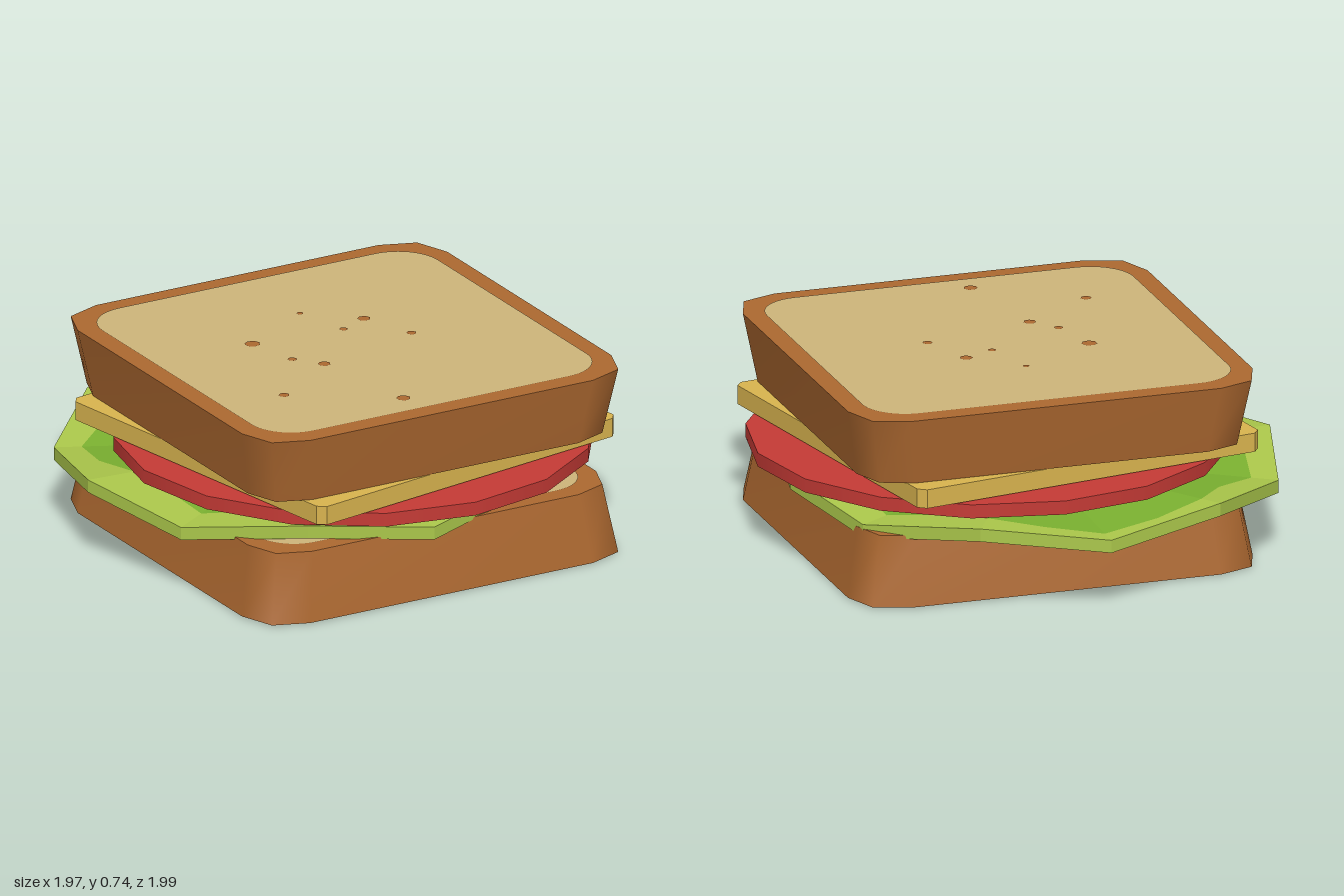
import * as THREE from 'three';

const mat = (name, color, side = THREE.FrontSide) => {
  const m = new THREE.MeshStandardMaterial({ color, side });
  m.name = name;
  return m;
};

// Square outline with cut corners: one corner's points, turned four times
function squareOutline(corner) {
  const pts = [];
  for (let q = 0; q < 4; q++) {
    const c = Math.round(Math.cos(q * Math.PI / 2)), s = Math.round(Math.sin(q * Math.PI / 2));
    for (const [x, z] of corner) pts.push([x * c - z * s, x * s + z * c]);
  }
  return pts;
}

// Tapered block on an outline, smooth around the wall with sharp flat caps
function taperedBlock(outline, height, bottomScale, topScale) {
  const n = outline.length, pos = [], idx = [];
  const ring = (y, s) => outline.forEach(([x, z]) => pos.push(x * s, y, z * s));
  ring(0, bottomScale); ring(height, topScale);   // wall
  ring(0, bottomScale); ring(height, topScale);   // caps
  pos.push(0, 0, 0, 0, height, 0);
  for (let i = 0; i < n; i++) {
    const j = (i + 1) % n;
    idx.push(i, n + i, j, j, n + i, n + j);
    idx.push(4 * n, 2 * n + i, 2 * n + j, 4 * n + 1, 3 * n + j, 3 * n + i);
  }
  const g = new THREE.BufferGeometry();
  g.setAttribute('position', new THREE.Float32BufferAttribute(pos, 3));
  g.setIndex(idx);
  g.computeVertexNormals();
  return g;
}

function roundedSquare(half, r) {
  const s = new THREE.Shape(), k = half - r;
  s.absarc(k, k, r, 0, Math.PI / 2);
  s.absarc(-k, k, r, Math.PI / 2, Math.PI);
  s.absarc(-k, -k, r, Math.PI, Math.PI * 1.5);
  s.absarc(k, -k, r, Math.PI * 1.5, Math.PI * 2);
  return new THREE.ShapeGeometry(s, 6);
}

function add(parent, name, geometry, material, x = 0, y = 0, z = 0) {
  const m = new THREE.Mesh(geometry, material);
  m.name = name;
  m.position.set(x, y, z);
  parent.add(m);
  return m;
}

// Slice standing on its wide face at y = 0, crumb on both faces
function breadSlice(name, height, crust, crumb) {
  const g = new THREE.Group();
  g.name = name;
  const outline = squareOutline([[0.797, 0.61], [0.747, 0.747], [0.61, 0.797]]);
  const taper = 0.942;
  add(g, 'crust', taperedBlock(outline, height, 1, taper), crust);
  add(g, 'crumbWide', roundedSquare(0.722, 0.17).rotateX(Math.PI / 2), crumb, 0, -0.003, 0);
  add(g, 'crumbNarrow', roundedSquare(0.722 * taper, 0.16).rotateX(-Math.PI / 2), crumb, 0, height + 0.003, 0);
  return g;
}

// Wavy twelve-sided leaf: a darker heart within a light rim, on both faces
function lettuceLeaf(light, dark) {
  const g = new THREE.Group();
  g.name = 'lettuce';
  const R = 0.945, thick = 0.05, rays = 24;
  const heartSize = [0.8, 0.85, 0.88, 0.84, 0.86, 0.9, 0.88, 0.86, 0.84, 0.82, 0.84, 0.8,
    0.79, 0.88, 0.89, 0.86, 0.9, 0.94, 0.92, 0.9, 0.85, 0.83, 0.86, 0.82];
  const corner = k => {
    const a = k * Math.PI / 6;
    return new THREE.Vector3(R * Math.cos(a), k % 2 ? 0.285 : 0.34, R * Math.sin(a));
  };
  const centre = new THREE.Vector3(0, 0.3125, 0);
  const outer = [], inner = [];
  for (let i = 0; i < rays; i++) {
    const k = Math.floor(i / 2);
    outer.push(corner(k).lerp(corner(k + i % 2), 0.5));
    inner.push(centre.clone().lerp(outer[i], heartSize[i]));
  }
  const rim = [], heart = [];
  const down = v => v.clone().setY(v.y - thick);
  const tri = (list, a, b, c) => [a, b, c].forEach(v => list.push(v.x, v.y, v.z));
  const quad = (list, a, b, c, d) => { tri(list, a, b, c); tri(list, a, c, d); };
  for (let i = 0; i < rays; i++) {
    const j = (i + 1) % rays;
    const [oi, oj, ni, nj] = [outer[i], outer[j], inner[i], inner[j]];
    tri(heart, centre, nj, ni);
    tri(heart, down(centre), down(ni), down(nj));
    quad(rim, ni, nj, oj, oi);
    quad(rim, down(ni), down(oi), down(oj), down(nj));
    quad(rim, down(oi), oi, oj, down(oj));
  }
  for (const [name, list, m] of [['lettuceRim', rim, light], ['lettuceHeart', heart, dark]]) {
    const geo = new THREE.BufferGeometry();
    geo.setAttribute('position', new THREE.Float32BufferAttribute(list, 3));
    geo.computeVertexNormals();
    add(g, name, geo, m);
  }
  return g;
}

export function createModel() {
  const model = new THREE.Group();
  model.name = 'sandwich';
  const crust = mat('crust brown', 0xac6830);
  const crumb = mat('crumb cream', 0xcdb47a);
  const cheeseYellow = mat('cheese yellow', 0xd8b34e);
  const tomatoRed = mat('tomato red', 0xc43a35);
  const leafLight = mat('light leaf green', 0xaac64a);
  const leafDark = mat('dark leaf green', 0x7ab030);
  const cx = 0.04, cz = 0.09;

  // Bread, the upper slice turned over
  const lower = breadSlice('lowerBread', 0.265, crust, crumb);
  lower.position.set(cx, 0.003, cz);
  const upper = breadSlice('upperBread', 0.26, crust, crumb);
  upper.rotation.x = Math.PI;
  upper.position.set(cx, 0.735, cz);
  model.add(lower, upper);

  // Small pores in the top crumb: x, z, radius
  const pores = [[-0.27, -0.06, 0.03], [0.22, -0.075, 0.025], [0.04, -0.24, 0.013], [0.1, -0.02, 0.016],
    [-0.22, 0.15, 0.018], [-0.14, 0.25, 0.024], [0.3, 0.14, 0.019], [-0.43, 0.45, 0.021], [-0.06, 0.7, 0.027]];
  for (const [x, z, r] of pores) {
    add(model, 'crumbPore', new THREE.CircleGeometry(r, 7).rotateX(-Math.PI / 2), crust, x, 0.741, z);
  }

  // Cheese, turned slightly on the stack
  const cheeseGeo = taperedBlock(squareOutline([[0.725, 0.697], [0.697, 0.725]]), 0.073, 1, 1).toNonIndexed();
  cheeseGeo.computeVertexNormals();
  add(model, 'cheese', cheeseGeo, cheeseYellow, cx, 0.4, cz).rotation.y = Math.PI / 18;

  // Tomato slice
  add(model, 'tomato', new THREE.CylinderGeometry(0.905, 0.905, 0.053, 16), tomatoRed, 0.08, 0.369, 0.09);

  // Lettuce, pushed to the back right of the stack
  const lettuce = lettuceLeaf(leafLight, leafDark);
  lettuce.position.set(-0.04, 0, -0.05);
  model.add(lettuce);
  return model;
}
